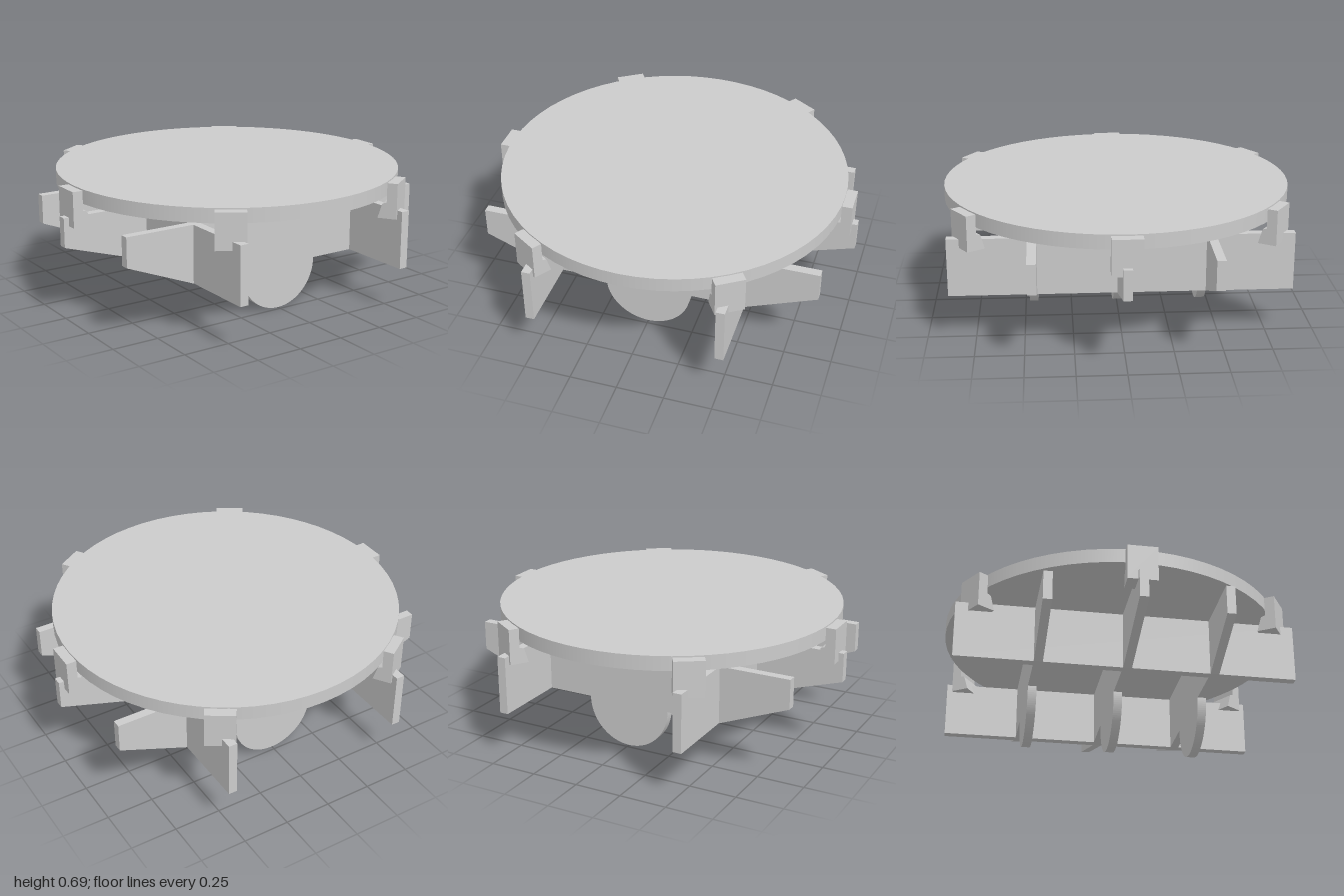
import * as THREE from 'three';

const smooth = new THREE.MeshStandardMaterial({ color: 0xcccccc });
const flat = new THREE.MeshStandardMaterial({ color: 0xcccccc, flatShading: true });

const THICK = 0.046;   // rib sheet thickness
const TOP = 0.54;      // top edge of ribs
const BOTTOM = 0.235;  // bottom edge of ribs

function add(group, name, geometry, material = flat) {
  const mesh = new THREE.Mesh(geometry, material);
  mesh.name = name;
  group.add(mesh);
  return mesh;
}

// Extrude a shape centred on its own plane
function slab(shape, depth) {
  const g = new THREE.ExtrudeGeometry(shape, { depth, bevelEnabled: false, curveSegments: 32 });
  return g.translate(0, 0, -depth / 2);
}

// Long rib with raised, tapered ends and a half-round rocker below
function longRib(halfLength) {
  const s = new THREE.Shape();
  s.moveTo(halfLength, TOP);
  s.lineTo(-halfLength, TOP);
  s.lineTo(-halfLength, 0.385);
  s.lineTo(-0.525, BOTTOM);
  s.lineTo(-0.23, BOTTOM);
  s.absellipse(0, BOTTOM, 0.23, BOTTOM, Math.PI, Math.PI * 2, false);
  s.lineTo(0.525, BOTTOM);
  s.lineTo(halfLength, 0.385);
  s.closePath();
  return slab(s, THICK);
}

// Rim clip: upright plate with a sloped foot reaching inward under the disc
function clipGeometry() {
  const s = new THREE.Shape([
    [0.872, 0.495], [0.972, 0.495], [0.972, 0.683], [0.918, 0.683],
    [0.918, 0.58], [0.895, 0.572],
  ].map(([x, y]) => new THREE.Vector2(x, y)));
  return slab(s, 0.154);
}

export function createModel() {
  const model = new THREE.Group();
  model.name = 'discOnRibbedStand';

  // Round top plate
  add(model, 'topDisc', new THREE.CylinderGeometry(0.92, 0.92, 0.075, 64), smooth)
    .position.y = 0.6525;

  // Three ribs running left to right
  for (const [name, z, half] of [['backRib', -0.455, 0.9], ['middleRib', 0, 1], ['frontRib', 0.455, 0.9]]) {
    add(model, name, longRib(half)).position.z = z;
  }

  // Two straight ribs running front to back
  for (const [name, x] of [['leftCrossRib', 0.5], ['rightCrossRib', -0.5]]) {
    add(model, name, new THREE.BoxGeometry(THICK, TOP - BOTTOM, 1.77))
      .position.set(x, (TOP + BOTTOM) / 2, 0);
  }

  // Six clips holding the rim, one at each rib end near the disc edge
  const clip = clipGeometry();
  [0, 57, 123, 180, 237, 303].forEach((deg, i) => {
    add(model, `rimClip${i + 1}`, clip).rotation.y = THREE.MathUtils.degToRad(deg);
  });

  return model;
}
